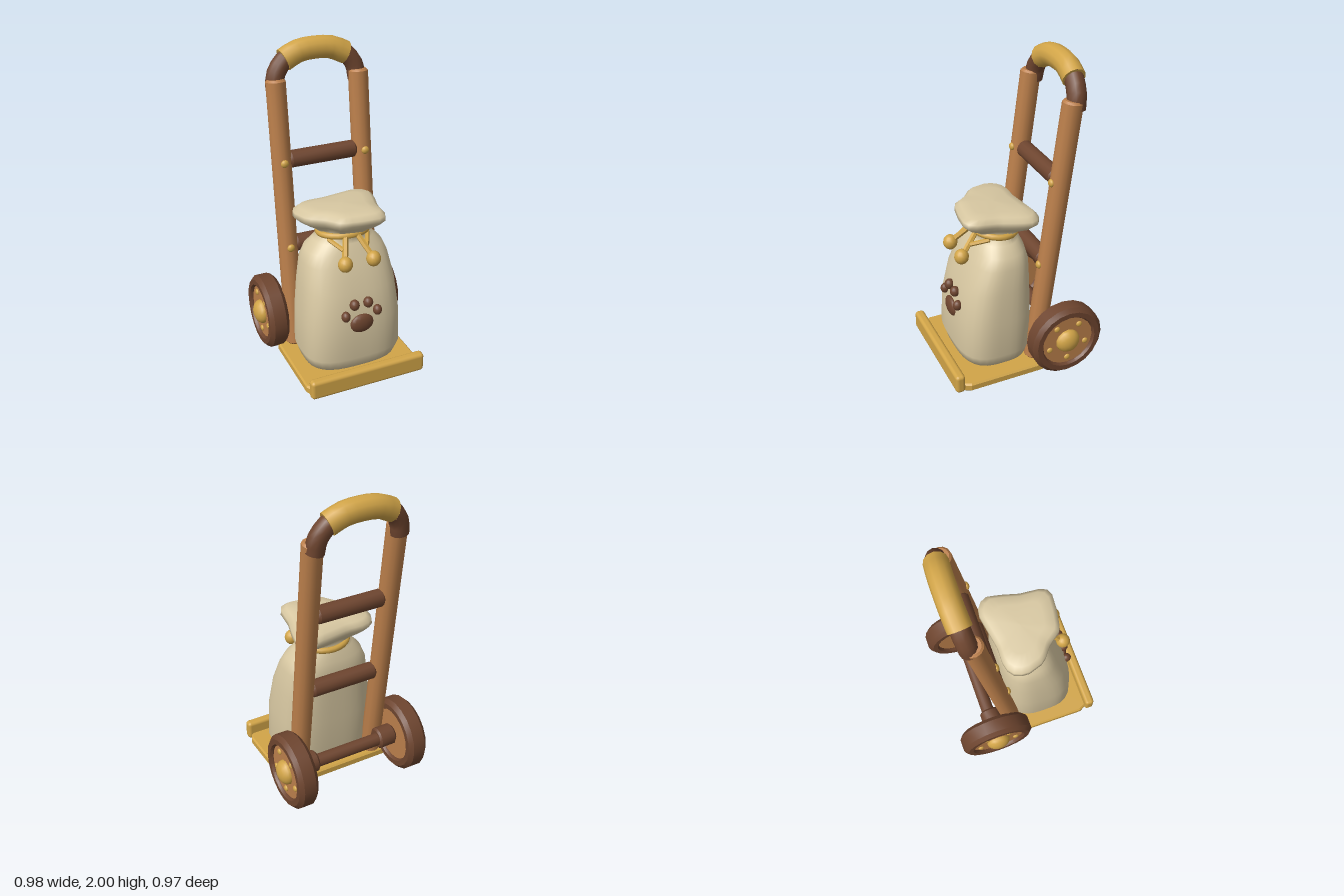
import * as THREE from 'three';
import { RoundedBoxGeometry } from 'three/addons/geometries/RoundedBoxGeometry.js';
import { toCreasedNormals } from 'three/addons/utils/BufferGeometryUtils.js';

const mat = (color) => new THREE.MeshStandardMaterial({ color, side: THREE.DoubleSide });
const gold = mat(0xd2a548), wood = mat(0xbb7f4b), dark = mat(0x6e452f), cloth = mat(0xd8c8a2);
const V = (x, y, z) => new THREE.Vector3(x, y, z);
const UP = V(0, 1, 0);

function add(parent, name, geo, material, pos = V(0, 0, 0)) {
  const m = new THREE.Mesh(geo, material);
  m.name = name;
  m.position.copy(pos);
  parent.add(m);
  return m;
}

// Turned bar between two points, with small chamfers at the ends
function bar(parent, name, a, b, r, material, sides = 12, chamfer = 0.012) {
  const L = a.distanceTo(b), c = chamfer;
  const pts = [[0, 0], [r - c, 0], [r, c], [r, L - c], [r - c, L], [0, L]].map((p) => new THREE.Vector2(...p));
  const m = add(parent, name, toCreasedNormals(new THREE.LatheGeometry(pts, sides), 0.65), material, a);
  m.quaternion.setFromUnitVectors(UP, b.clone().sub(a).normalize());
  return m;
}

function ball(parent, name, pos, r, material, sx = 1, sy = 1, sz = 1) {
  const m = add(parent, name, new THREE.SphereGeometry(r, 14, 10), material, pos);
  m.scale.set(sx, sy, sz);
  return m;
}

// Bent tube with closed ends
function tube(parent, name, points, r, material, segments) {
  const curve = new THREE.CatmullRomCurve3(points);
  add(parent, name, new THREE.TubeGeometry(curve, segments, r, 12), material);
  for (const t of [0, 1]) {
    const p = curve.getPointAt(t), d = curve.getTangentAt(t).multiplyScalar(t ? 1 : -1);
    add(parent, name + 'End', new THREE.CircleGeometry(r, 12), material, p).lookAt(p.clone().add(d));
  }
}

// Skin over horizontal rings of equal point count, from bottom to top
function loft(rings) {
  const n = rings[0].length, pos = [], idx = [];
  rings.forEach((ring) => ring.forEach((p) => pos.push(p.x, p.y, p.z)));
  for (let i = 0; i < rings.length - 1; i++)
    for (let j = 0; j < n; j++) {
      const a = i * n + j, b = i * n + (j + 1) % n;
      idx.push(a, a + n, b, b, a + n, b + n);
    }
  const g = new THREE.BufferGeometry();
  g.setAttribute('position', new THREE.Float32BufferAttribute(pos, 3));
  g.setIndex(idx);
  g.computeVertexNormals();
  return g;
}

function sackGeometry() {
  const N = 40, rings = [];
  // Body: height, centre z, half width, half depth, squareness
  const body = [
    [0.065, 0.13, 0.001, 0.001, 3], [0.065, 0.13, 0.25, 0.18, 3], [0.085, 0.13, 0.295, 0.22, 3],
    [0.16, 0.133, 0.32, 0.24, 3.2], [0.4, 0.125, 0.315, 0.237, 3.2], [0.6, 0.105, 0.297, 0.217, 3],
    [0.75, 0.075, 0.273, 0.185, 2.8], [0.82, 0.068, 0.245, 0.163, 2.5], [0.875, 0.065, 0.19, 0.138, 2.2],
    [0.91, 0.062, 0.145, 0.122, 2],
  ];
  for (const [y, cz, a, b, e] of body) {
    const ring = [];
    for (let j = 0; j < N; j++) {
      const t = (j / N) * Math.PI * 2, c = Math.cos(t), s = Math.sin(t);
      const k = Math.pow(Math.abs(c) ** e + Math.abs(s) ** e, -1 / e);
      ring.push(V(a * k * c, y, cz + b * k * s));
    }
    rings.push(ring);
  }
  // Flared mouth: uneven outline in x, z, measured around the neck centre
  const cz = 0.06;
  const polar = [
    [0.25, 0.0], [0.21, 0.13], [0.195, 0.27], [0.16, 0.32], [0.03, 0.31], [-0.1, 0.285], [-0.17, 0.19],
    [-0.26, 0.12], [-0.3, -0.01], [-0.26, -0.1], [-0.17, -0.12], [-0.08, -0.115], [0.19, -0.16], [0.27, -0.1],
  ].map(([x, z]) => [x, z - cz]);
  const radius = (t) => {
    const c = Math.cos(t), s = Math.sin(t);
    let best = 0.2;
    polar.forEach(([x, z], i) => {
      const [x2, z2] = polar[(i + 1) % polar.length], dx = x2 - x, dz = z2 - z;
      const den = c * dz - s * dx, r = (x * dz - z * dx) / den, u = (x * s - z * c) / den;
      if (r > 0 && u >= 0 && u <= 1) best = r;
    });
    return best;
  };
  for (const [y, k] of [[0.945, 0.62], [0.985, 0.86], [1.02, 0.99], [1.05, 0.98], [1.075, 0.86], [1.085, 0.6], [1.088, 0.001]]) {
    const ring = [];
    for (let j = 0; j < N; j++) {
      const t = (j / N) * Math.PI * 2, r = radius(t) * k;
      ring.push(V(r * Math.cos(t), y + 0.07 * r * Math.sin(t), cz + r * Math.sin(t)));
    }
    rings.push(ring);
  }
  return loft(rings);
}

function wheel(side) {
  const g = new THREE.Group();
  g.name = side > 0 ? 'leftWheel' : 'rightWheel';
  const profile = [[0.172, -0.05], [0.182, -0.065], [0.215, -0.065], [0.24, -0.04], [0.24, 0.04],
    [0.215, 0.065], [0.182, 0.065], [0.172, 0.05], [0.172, -0.05]].map((p) => new THREE.Vector2(...p));
  add(g, 'tyre', toCreasedNormals(new THREE.LatheGeometry(profile, 20), 0.6), dark);
  add(g, 'wheelDisc', new THREE.CylinderGeometry(0.175, 0.175, 0.09, 20), wood);
  ball(g, 'hubCap', V(0, 0.045, 0), 0.08, gold, 1, 0.7, 1);
  for (let i = 0; i < 5; i++) {
    const a = (i / 5) * Math.PI * 2;
    ball(g, 'wheelBolt', V(0.13 * Math.cos(a), 0.047, 0.13 * Math.sin(a)), 0.02, gold, 1, 0.6, 1);
  }
  // Local y becomes the outward axle direction, first bolt points down
  g.rotation.z = -side * Math.PI / 2;
  if (side < 0) g.scale.x = 1;
  g.position.set(side * 0.39, 0.24, -0.245);
  g.children.forEach((m) => { if (side < 0) m.position.x *= -1; });
  return g;
}

export function createModel() {
  const root = new THREE.Group();
  root.name = 'handTruckWithSack';
  const railZ = (y) => -0.135 - 0.127 * (y - 0.42);

  // Loading plate with clipped corners, and its front lip
  const o = [[-0.34, -0.14], [0.34, -0.14], [0.37, -0.1], [0.37, 0.38], [0.35, 0.42],
    [-0.35, 0.42], [-0.37, 0.38], [-0.37, -0.1]].map(([x, z]) => new THREE.Vector2(x, -z));
  const plate = new THREE.ExtrudeGeometry(new THREE.Shape(o), {
    depth: 0.035, bevelThickness: 0.01, bevelSize: 0.01, bevelSegments: 1 });
  plate.rotateX(-Math.PI / 2);
  add(root, 'loadingPlate', plate, gold, V(0, 0.015, 0));
  add(root, 'plateLip', new RoundedBoxGeometry(0.76, 0.125, 0.062, 2, 0.022), gold, V(0, 0.078, 0.451));

  // Side rails, wheels and fittings
  for (const s of [-1, 1]) {
    bar(root, 'sideRail', V(s * 0.268, 0.06, railZ(0.06)), V(s * 0.268, 1.78, railZ(1.78)), 0.062, wood);
    for (const y of [0.74, 1.285])
      ball(root, 'railBolt', V(s * 0.268, y, railZ(y) + 0.06), 0.025, gold, 1, 1, 0.7);
    bar(root, 'axleCollar', V(s * 0.22, 0.24, -0.235), V(s * 0.34, 0.24, -0.235), 0.07, dark);
    root.add(wheel(s));
    // Curved handle shoulder
    tube(root, 'handleShoulder', [V(s * 0.268, 1.72, -0.325), V(s * 0.255, 1.8, -0.335),
      V(s * 0.2, 1.875, -0.345), V(s * 0.12, 1.92, -0.35)], 0.057, dark, 6);
  }
  tube(root, 'handleGrip', [V(-0.2, 1.878, -0.345), V(-0.11, 1.919, -0.352), V(0, 1.93, -0.354),
    V(0.11, 1.919, -0.352), V(0.2, 1.878, -0.345)], 0.07, gold, 8);

  // Cross bars and axle
  for (const y of [0.74, 1.285])
    bar(root, 'crossBar', V(-0.22, y, railZ(y)), V(0.22, y, railZ(y)), 0.054, dark);
  bar(root, 'axle', V(-0.36, 0.24, -0.245), V(0.36, 0.24, -0.245), 0.042, dark);

  // Sack with its rope tie
  add(root, 'sack', sackGeometry(), cloth);
  const rope = add(root, 'rope', new THREE.TorusGeometry(0.147, 0.02, 8, 24), gold, V(0, 0.915, 0.065));
  rope.rotation.x = Math.PI / 2 - 0.12;
  rope.scale.set(1.04, 0.93, 1);
  for (const s of [-1, 1]) {
    bar(root, 'ropeTail', V(s * 0.04, 0.925, 0.2), V(s * 0.09, 0.82, 0.305), 0.018, gold, 6, 0.004);
    bar(root, 'ropeLoop', V(s * 0.13, 0.905, 0.145), V(s * 0.075, 0.87, 0.255), 0.014, gold, 6, 0.004);
    ball(root, 'ropeBead', V(s * 0.092, 0.81, 0.315), 0.045, gold, 1, 1.08, 1);
    // Paw print toes
    ball(root, 'pawToe', V(s * 0.105, 0.47, 0.355), 0.034, dark, 0.82, 1, 0.9);
    ball(root, 'pawToe', V(s * 0.045, 0.535, 0.348), 0.035, dark, 0.88, 1, 0.9);
  }
  ball(root, 'pawPad', V(0, 0.4, 0.355), 0.08, dark, 1, 0.78, 0.38);
  return root;
}
